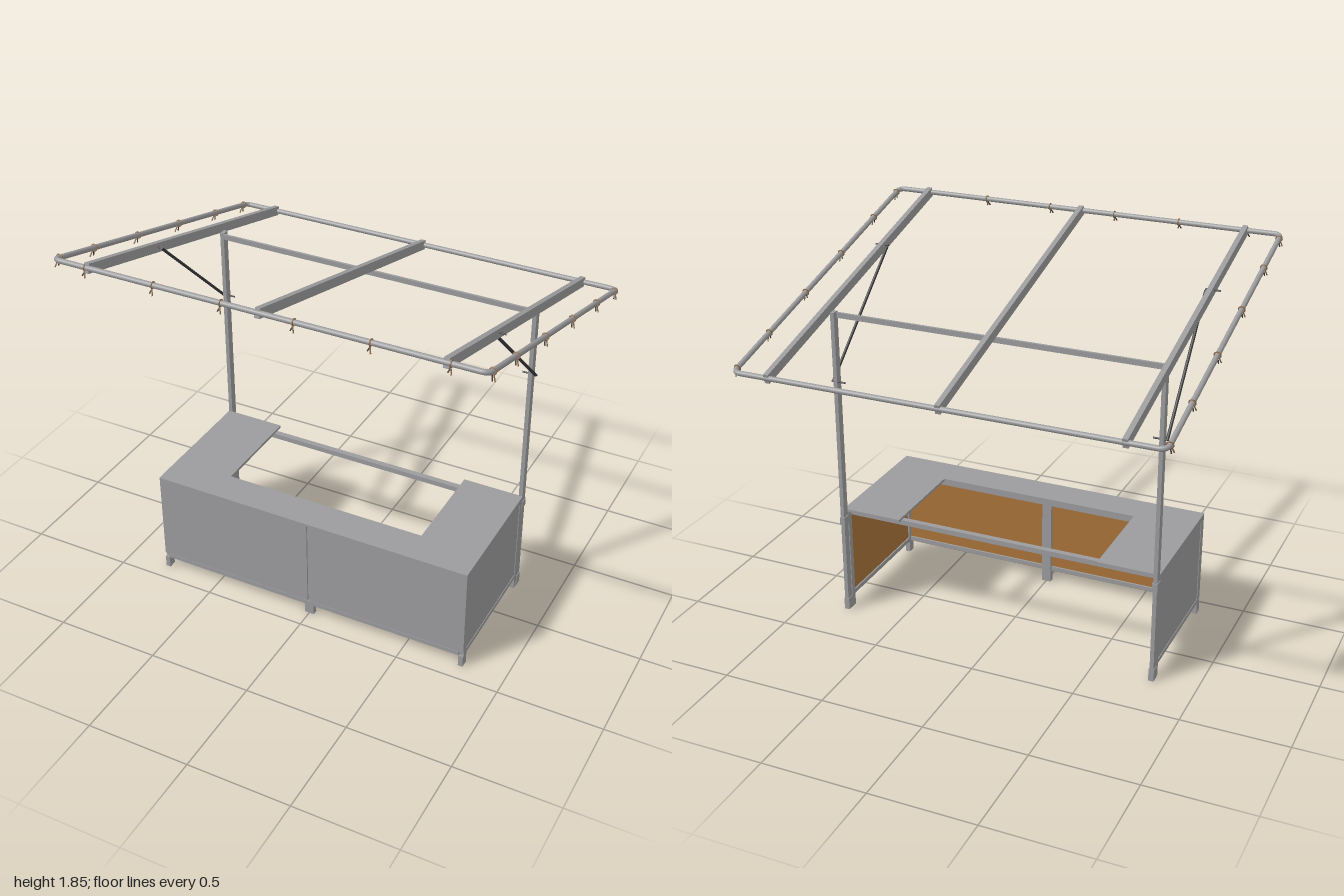
import * as THREE from 'three';

const mat = (name, hex) => {
  const m = new THREE.MeshStandardMaterial({ color: hex });
  m.name = name;
  return m;
};

export function createModel() {
  const steel = mat('grey steel', 0x9c9c9e);
  const wood = mat('plywood brown', 0xa9733a);
  const dark = mat('dark steel', 0x3c3c40);
  const tan = mat('tan clip', 0x94714c);

  const model = new THREE.Group();
  model.name = 'marketStall';

  const add = (parent, name, geo, material) => {
    const mesh = new THREE.Mesh(geo, material);
    mesh.name = name;
    parent.add(mesh);
    return mesh;
  };
  // Box given by its minimum and maximum corners
  const box = (parent, name, material, x0, x1, y0, y1, z0, z1) => {
    const mesh = add(parent, name, new THREE.BoxGeometry(Math.abs(x1 - x0), y1 - y0, z1 - z0), material);
    mesh.position.set((x0 + x1) / 2, (y0 + y1) / 2, (z0 + z1) / 2);
    return mesh;
  };
  // Round bar between two points
  const bar = (parent, name, material, a, b, r, sides = 10) => {
    const p = new THREE.Vector3(...a), q = new THREE.Vector3(...b);
    const mesh = add(parent, name, new THREE.CylinderGeometry(r, r, p.distanceTo(q), sides), material);
    mesh.position.copy(p).add(q).multiplyScalar(0.5);
    mesh.quaternion.setFromUnitVectors(new THREE.Vector3(0, 1, 0), q.sub(p).normalize());
    return mesh;
  };

  // ---- Counter ----
  const counter = new THREE.Group();
  counter.name = 'counter';
  model.add(counter);

  // U-shaped worktop, open towards the back
  const u = new THREE.Shape([
    [-0.797, -0.42], [0.797, -0.42], [0.797, 0.23], [0.5, 0.23],
    [0.5, -0.255], [-0.5, -0.255], [-0.5, 0.23], [-0.797, 0.23],
  ].map(([x, y]) => new THREE.Vector2(x, y)));
  const top = add(counter, 'worktop', new THREE.ExtrudeGeometry(u, { depth: 0.013, bevelEnabled: false }), steel);
  top.rotation.x = -Math.PI / 2;
  top.position.y = 0.522;

  // Front rails and middle leg
  box(counter, 'frontBottomRail', steel, -0.775, 0.775, 0.06, 0.082, 0.395, 0.42);
  box(counter, 'frontTopRail', steel, -0.775, 0.775, 0.498, 0.522, 0.385, 0.41);
  box(counter, 'innerTopRail', steel, -0.775, 0.775, 0.498, 0.522, 0.26, 0.285);
  box(counter, 'middleLeg', steel, -0.024, 0.024, 0, 0.522, 0.385, 0.41);
  box(counter, 'backRail', steel, -0.78, 0.78, 0.495, 0.52, -0.2, -0.172);

  for (const s of [1, -1]) {
    // Front panel half: grey outside, plywood inside
    box(counter, 'frontPanel', steel, s * 0.004, s * 0.797, 0.08, 0.522, 0.41, 0.418);
    box(counter, 'frontPanelLining', wood, s * 0.024, s * 0.775, 0.08, 0.5, 0.404, 0.41);
    // Side panel
    box(counter, 'sidePanel', steel, s * 0.787, s * 0.794, 0.08, 0.522, -0.215, 0.4);
    box(counter, 'sidePanelLining', wood, s * 0.781, s * 0.787, 0.08, 0.505, -0.2, 0.38);
    // Side frame
    box(counter, 'sideBottomRail', steel, s * 0.774, s * 0.797, 0.06, 0.082, -0.2, 0.38);
    box(counter, 'sideTopRail', steel, s * 0.774, s * 0.797, 0.502, 0.522, -0.2, 0.38);
    box(counter, 'frontLeg', steel, s * 0.774, s * 0.797, 0, 0.522, 0.38, 0.41);
    box(counter, 'frontFoot', steel, s * 0.774, s * 0.797, 0, 0.06, 0.38, 0.42);
    box(counter, 'backLeg', steel, s * 0.774, s * 0.797, 0, 0.522, -0.227, -0.2);
  }

  // ---- Posts and cross beam ----
  const supports = new THREE.Group();
  supports.name = 'supports';
  model.add(supports);
  box(supports, 'crossBeam', steel, -0.78, 0.78, 1.51, 1.535, -0.238, -0.226);
  for (const s of [1, -1]) {
    box(supports, 'post', steel, s * 0.778, s * 0.797, 0.02, 1.54, -0.262, -0.227);
    box(supports, 'postSleeve', steel, s * 0.774, s * 0.8, 0, 0.06, -0.264, -0.225);
    box(supports, 'postCollar', steel, s * 0.774, s * 0.8, 0.465, 0.505, -0.266, -0.225);
    // Diagonal brace with its two pins
    bar(supports, 'brace', dark, [s * 0.808, 1.2, -0.245], [s * 0.787, 1.695, 0.275], 0.007);
    bar(supports, 'lowerPin', dark, [s * 0.745, 1.2, -0.247], [s * 0.815, 1.2, -0.247], 0.004);
    bar(supports, 'upperPin', dark, [s * 0.783, 1.7, 0.282], [s * 0.852, 1.7, 0.282], 0.004);
  }

  // ---- Sloping roof frame ----
  const roof = new THREE.Group();
  roof.name = 'roofFrame';
  roof.position.y = 1.622;
  roof.rotation.x = -0.262;
  model.add(roof);

  const X = 0.98, Z = 0.8075, R = 0.03, r = 0.012;
  for (const s of [1, -1]) {
    bar(roof, 'edgeTube', steel, [-X + R, 0, s * Z], [X - R, 0, s * Z], r, 14);
    bar(roof, 'sideTube', steel, [s * X, 0, -Z + R], [s * X, 0, Z - R], r, 14);
  }
  // Rounded corners
  [[1, 1, 0], [-1, 1, 1], [-1, -1, 2], [1, -1, 3]].forEach(([sx, sz, k]) => {
    const geo = new THREE.TorusGeometry(R, r, 12, 8, Math.PI / 2);
    geo.rotateZ(k * Math.PI / 2).rotateX(Math.PI / 2);
    add(roof, 'cornerTube', geo, steel).position.set(sx * (X - R), 0, sz * (Z - R));
  });
  for (const x of [-0.811, 0, 0.811]) {
    box(roof, 'rafter', steel, x - 0.012, x + 0.012, -0.022, 0.022, -0.815, 0.815);
  }

  // Hanging clips along the front and both sides
  const clip = (x, z, turn) => {
    const g = new THREE.Group();
    g.name = 'clip';
    const ring = add(g, 'clipRing', new THREE.TorusGeometry(0.0145, 0.003, 6, 14), tan);
    ring.rotation.y = Math.PI / 2;
    bar(g, 'clipProng', tan, [0, -0.012, 0.006], [0.009, -0.042, 0.012], 0.003, 6);
    bar(g, 'clipProng', dark, [0, -0.012, 0], [-0.009, -0.036, 0.006], 0.003, 6);
    g.position.set(x, 0, z);
    g.rotation.y = turn;
    roof.add(g);
  };
  for (const x of [-0.82, -0.49, -0.17, 0.16, 0.495, 0.83]) clip(x, Z, 0);
  for (const z of [0.77, 0.52, 0.18, -0.165, -0.5, -0.775]) {
    for (const s of [1, -1]) clip(s * X, z, s * Math.PI / 2);
  }

  return model;
}
